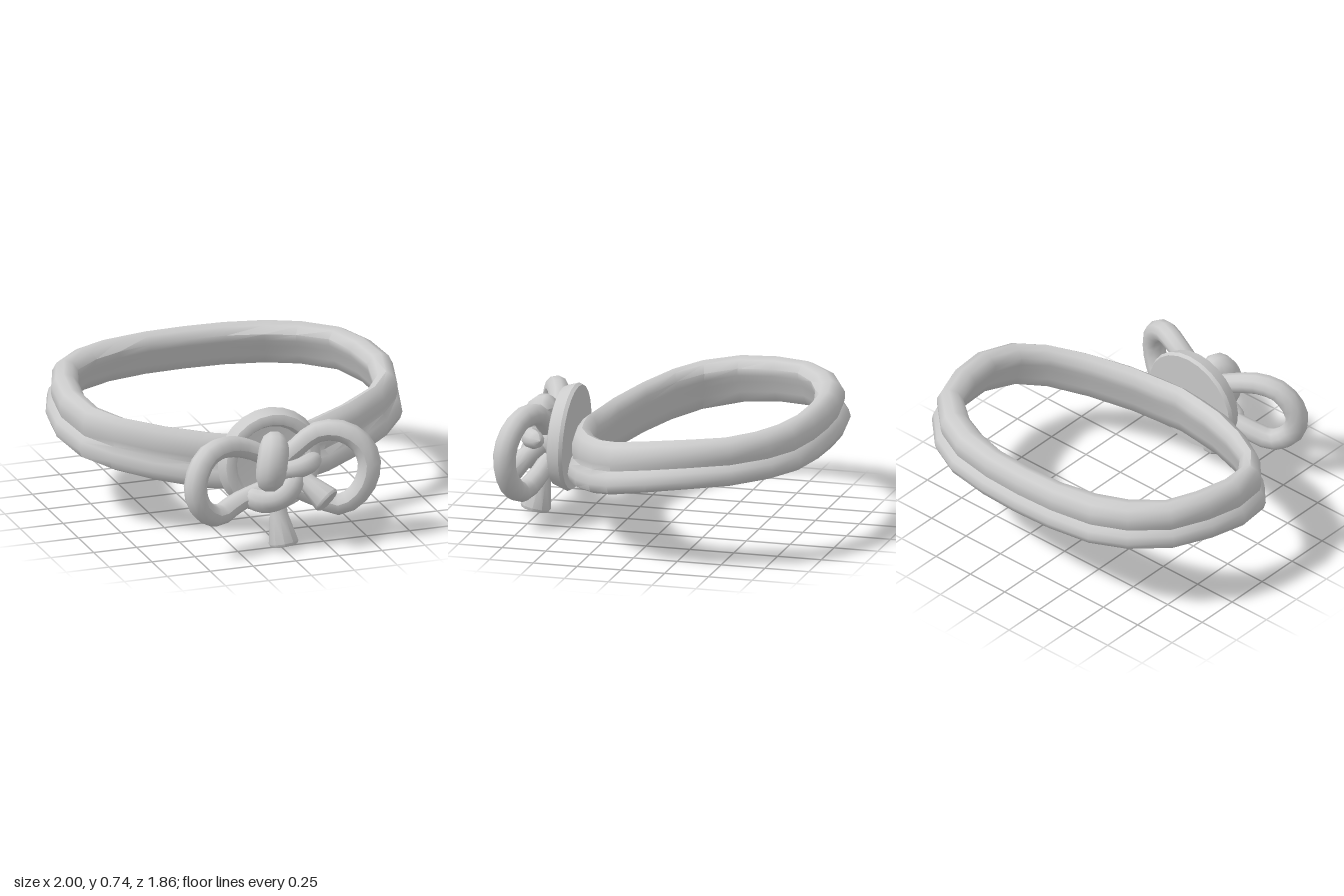
import * as THREE from 'three';
import { toCreasedNormals } from 'three/addons/utils/BufferGeometryUtils.js';

const material = new THREE.MeshStandardMaterial({ color: 0xcccccc, side: THREE.DoubleSide });
const vec = (p) => new THREE.Vector3(...p);

function addMesh(group, name, geometry) {
  const mesh = new THREE.Mesh(geometry, material);
  mesh.name = name;
  group.add(mesh);
  return mesh;
}

// Closed band: a two-lobed section swept round an outline that rises to the back
function bandGeometry() {
  // Half outline from back to front: outer x, outer z, inner x, inner z
  const half = [
    [0, -0.93, 0, -0.76], [0.24, -0.92, 0.22, -0.75], [0.5, -0.88, 0.42, -0.7],
    [0.7, -0.78, 0.58, -0.63], [0.88, -0.6, 0.73, -0.51], [0.97, -0.37, 0.79, -0.34],
    [1, -0.14, 0.82, -0.14], [0.94, 0.1, 0.79, 0.04], [0.81, 0.24, 0.69, 0.17],
    [0.62, 0.37, 0.49, 0.28], [0.39, 0.48, 0.25, 0.37], [0.17, 0.53, 0.12, 0.4],
    [0, 0.54, 0, 0.42],
  ];
  const mirrored = half.slice(1, -1).reverse().map(([a, b, c, d]) => [-a, b, -c, d]);
  const outline = [...half, ...mirrored];
  // Section: fraction from outside to inside, fraction from bottom to top
  const section = [
    [0.3, 0], [0.08, 0.06], [0, 0.2], [0.06, 0.36], [0.22, 0.46], [0.17, 0.58],
    [0.17, 0.75], [0.3, 0.92], [0.55, 1], [0.82, 0.95], [1, 0.8], [0.97, 0.65],
    [0.83, 0.5], [0.75, 0.28], [0.58, 0.06],
  ];
  const positions = [], index = [];
  const n = outline.length, m = section.length;
  outline.forEach(([ox, oz, ix, iz], i) => {
    const t = Math.min(1, Math.max(0, (0.53 - oz) / 1.46));
    const top = 0.58 + 0.173 * (1 - (1 - t) ** 3);
    const bottom = 0.27 + 0.222 * (1 - (1 - t) ** 2.6);
    section.forEach(([u, v], j) => {
      positions.push(ox + (ix - ox) * u, bottom + (top - bottom) * v, oz + (iz - oz) * u);
      const a = i * m + j, b = i * m + (j + 1) % m;
      const c = ((i + 1) % n) * m + j, d = ((i + 1) % n) * m + (j + 1) % m;
      index.push(a, b, c, b, d, c);
    });
  });
  const geometry = new THREE.BufferGeometry();
  geometry.setAttribute('position', new THREE.Float32BufferAttribute(positions, 3));
  geometry.setIndex(index);
  geometry.computeVertexNormals();
  return toCreasedNormals(geometry, 0.85);
}

// Round cord along points, with its radius varying along the length
function cord(points, radiusAt, segments = 16, sides = 10) {
  const curve = new THREE.CatmullRomCurve3(points.map(vec));
  const geometry = new THREE.TubeGeometry(curve, segments, 1, sides, false);
  const pos = geometry.attributes.position;
  const p = new THREE.Vector3();
  for (let i = 0; i < pos.count; i++) {
    const t = Math.floor(i / (sides + 1)) / segments;
    const centre = curve.getPointAt(t);
    p.fromBufferAttribute(pos, i).sub(centre).multiplyScalar(radiusAt(t)).add(centre);
    pos.setXYZ(i, p.x, p.y, p.z);
  }
  geometry.computeVertexNormals();
  return geometry;
}

// Short cord with rounded, closed ends
const knotStrand = (points, radius) =>
  cord(points, (t) => radius * Math.sqrt(Math.max(0.0001, 1 - Math.abs(2 * t - 1) ** 4)), 14);

// Flaring tail hanging from one point to another
function addTail(group, name, from, to, r0, r1) {
  const a = vec(from), b = vec(to);
  const direction = b.clone().sub(a);
  const length = direction.length();
  const profile = [[0, 0], [r0, 0], [r0 * 1.05, length * 0.4], [r1, length * 0.94], [r1 * 0.9, length], [0, length]];
  const lathe = new THREE.LatheGeometry(profile.map(([x, y]) => new THREE.Vector2(x, y)), 10);
  const mesh = addMesh(group, name, toCreasedNormals(lathe, 0.8));
  mesh.position.copy(a);
  mesh.quaternion.setFromUnitVectors(new THREE.Vector3(0, 1, 0), direction.normalize());
}

export function createModel() {
  const model = new THREE.Group();
  model.name = 'ribbonCollar';

  addMesh(model, 'band', bandGeometry());

  // Round backing plate with a raised rim and sunken face
  const plateProfile = [[0, 0], [0.29, 0], [0.3, 0.02], [0.275, 0.09], [0.25, 0.1], [0.22, 0.095], [0.2, 0.055], [0, 0.045]];
  const plate = addMesh(model, 'backingPlate', toCreasedNormals(
    new THREE.LatheGeometry(plateProfile.map(([x, y]) => new THREE.Vector2(x, y)), 24), 0.6));
  plate.rotation.x = Math.PI / 2 - 0.04;
  plate.position.set(0, 0.45, 0.54);

  const bow = new THREE.Group();
  bow.name = 'bow';
  model.add(bow);

  // Loops
  const loopRadius = (t) => 0.05 + 0.014 * Math.sin(Math.PI * t);
  addMesh(bow, 'rightLoop', cord([
    [-0.03, 0.5, 0.69], [-0.18, 0.58, 0.69], [-0.33, 0.62, 0.74], [-0.45, 0.59, 0.79],
    [-0.525, 0.46, 0.83], [-0.5, 0.33, 0.83], [-0.39, 0.245, 0.79], [-0.25, 0.285, 0.73],
    [-0.05, 0.34, 0.69],
  ], loopRadius, 20));
  addMesh(bow, 'leftLoop', cord([
    [0.02, 0.48, 0.69], [0.11, 0.55, 0.69], [0.23, 0.63, 0.7], [0.36, 0.635, 0.75],
    [0.46, 0.56, 0.79], [0.495, 0.45, 0.81], [0.45, 0.3, 0.8], [0.34, 0.215, 0.76],
    [0.22, 0.26, 0.71], [0.05, 0.34, 0.68],
  ], loopRadius, 20));

  // Knot
  addMesh(bow, 'knotWrap', knotStrand([
    [-0.02, 0.61, 0.66], [-0.035, 0.59, 0.74], [-0.06, 0.51, 0.78], [-0.065, 0.43, 0.77], [-0.05, 0.36, 0.7],
  ], 0.085));
  addMesh(bow, 'knotCross', knotStrand([
    [-0.05, 0.45, 0.74], [0.05, 0.45, 0.77], [0.14, 0.465, 0.76], [0.24, 0.48, 0.68],
  ], 0.055));
  addMesh(bow, 'knotLower', knotStrand([
    [-0.2, 0.33, 0.7], [-0.12, 0.29, 0.76], [-0.02, 0.31, 0.79], [0.05, 0.37, 0.78], [0.1, 0.45, 0.72],
  ], 0.068));
  addMesh(bow, 'knotCore', new THREE.SphereGeometry(0.11, 12, 8)).position.set(0, 0.42, 0.68);

  // Stem joining the knot to the plate
  const stem = addMesh(bow, 'stem', new THREE.CylinderGeometry(0.06, 0.06, 0.14, 10));
  stem.rotation.x = Math.PI / 2;
  stem.position.set(0, 0.45, 0.62);

  // Tails
  addTail(bow, 'centreTail', [-0.02, 0.3, 0.72], [0.01, 0.025, 0.775], 0.05, 0.085);
  addTail(bow, 'sideTail', [0.1, 0.42, 0.72], [0.23, 0.285, 0.875], 0.05, 0.08);

  return model;
}
